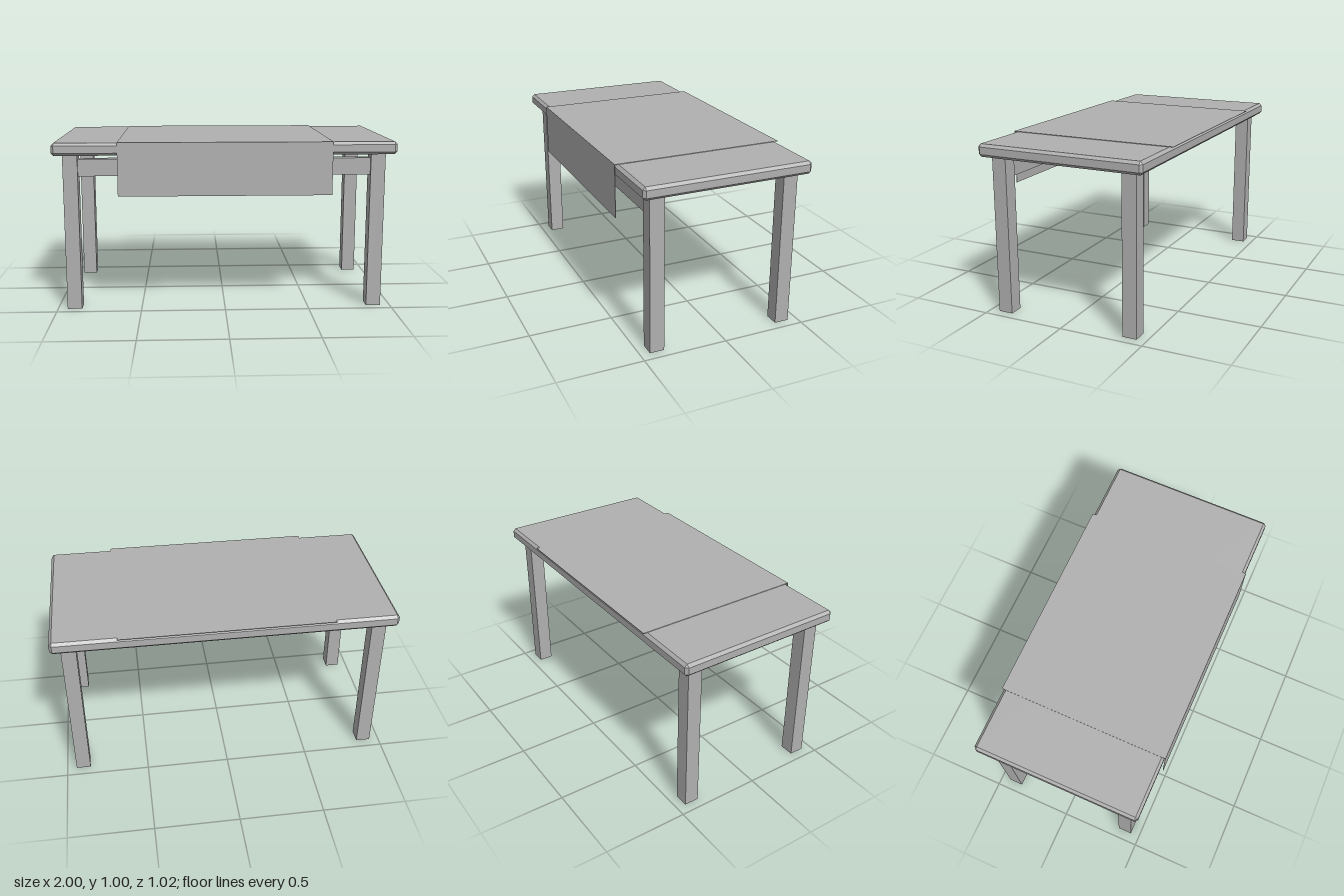
import * as THREE from 'three';
import { ConvexGeometry } from 'three/addons/geometries/ConvexGeometry.js';

export function createModel() {
  const group = new THREE.Group();
  const grey = new THREE.MeshStandardMaterial({ color: 0xb0b0b0 });
  grey.name = 'plain grey';

  const add = (name, geometry, x, y, z) => {
    const mesh = new THREE.Mesh(geometry, grey);
    mesh.name = name;
    mesh.position.set(x, y, z);
    group.add(mesh);
  };
  // Box given by its lower and upper corners
  const box = (name, x0, y0, z0, x1, y1, z1) =>
    add(name, new THREE.BoxGeometry(x1 - x0, y1 - y0, z1 - z0),
      (x0 + x1) / 2, (y0 + y1) / 2, (z0 + z1) / 2);

  // Box with every edge and corner chamfered by b
  const chamferedBox = (w, h, d, b) => {
    const points = [];
    for (const sx of [-1, 1]) for (const sy of [-1, 1]) for (const sz of [-1, 1]) {
      const x = w / 2, y = h / 2, z = d / 2;
      for (const [px, py, pz] of [[x, y - b, z - b], [x - b, y, z - b], [x - b, y - b, z]])
        points.push(new THREE.Vector3(sx * px, sy * py, sz * pz));
    }
    return new ConvexGeometry(points);
  };

  // Table top
  add('tableTop', chamferedBox(2, 0.074, 1, 0.016), 0, 0.964, 0);

  // Four square legs
  for (const sx of [-1, 1]) for (const sz of [-1, 1])
    add('leg', new THREE.BoxGeometry(0.086, 0.93, 0.086), sx * 0.9, 0.465, sz * 0.4);

  // Rail between the front legs
  box('frontRail', -0.87, 0.8, 0.37, 0.87, 0.9, 0.43);

  // Cloth lying over the top and hanging down at the front
  box('clothTop', -0.622, 1.001, -0.508, 0.622, 1.004, 0.507);
  box('clothDrop', -0.622, 0.692, 0.504, 0.622, 1.001, 0.507);

  return group;
}
